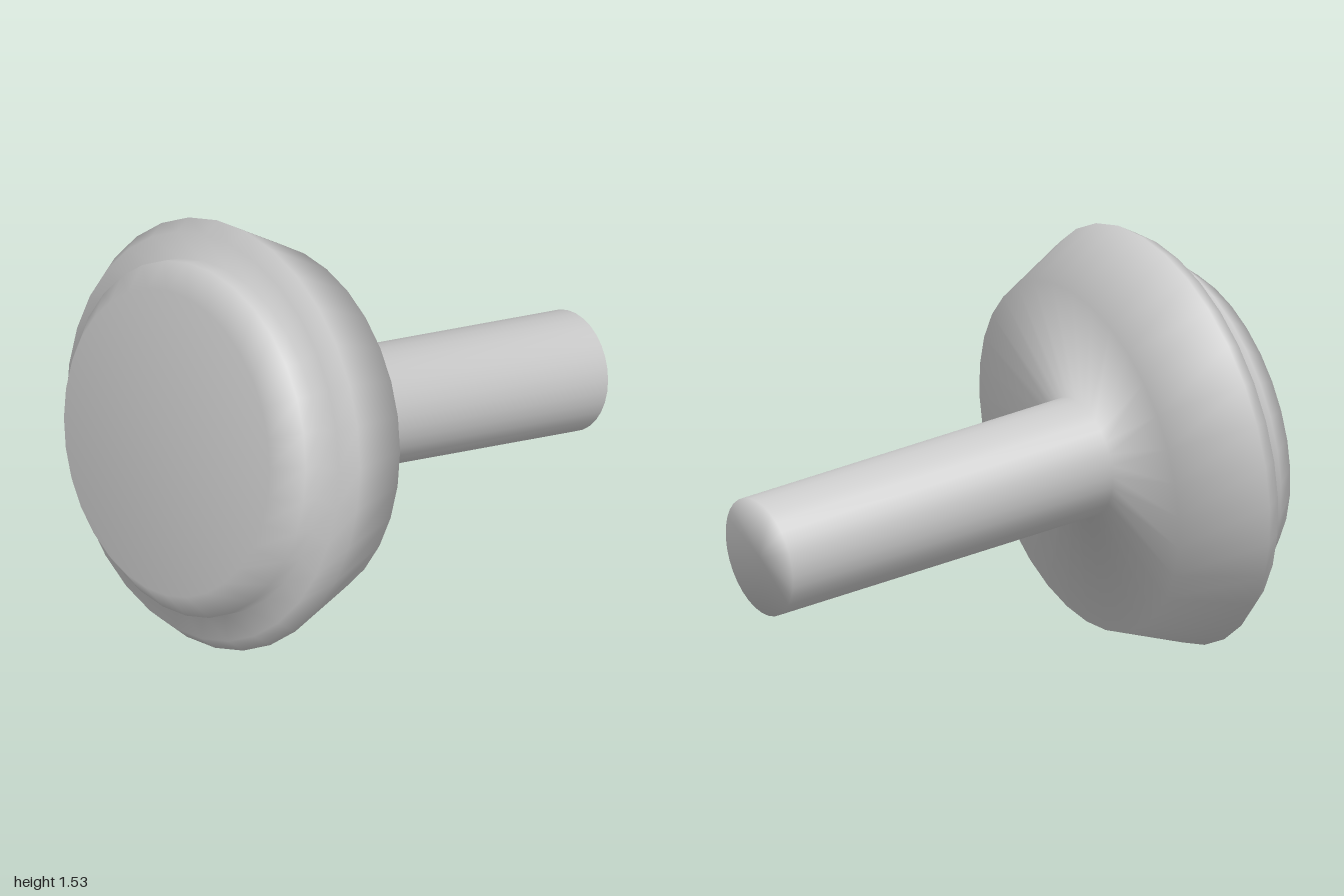
import * as THREE from 'three';

export function createModel() {
  const group = new THREE.Group();
  const material = new THREE.MeshStandardMaterial({ color: 0xcccccc, side: THREE.DoubleSide });

  // [radius, distance along the axis], from the back of the head to the stem tip
  const profile = [
    [0, 0], [0.555, 0], [0.642, 0.096],      // rear disc with chamfer
    [0.64, 0.168], [0.736, 0.17],            // step out to the flange
    [0.778, 0.233], [0.648, 0.536],          // flange rim and taper
    [0.219, 0.536], [0.219, 1.894],          // front face and stem
    [0, 1.894],                              // stem tip
  ].map(([r, t]) => new THREE.Vector2(r, t));

  const knob = new THREE.Mesh(new THREE.LatheGeometry(profile, 32), material);
  knob.name = 'knobWithStem';

  // Lay the axis along +x, dipping ten degrees
  knob.rotation.z = THREE.MathUtils.degToRad(-100);
  knob.position.set(-0.907, 0.809, 0);
  group.add(knob);
  return group;
}
